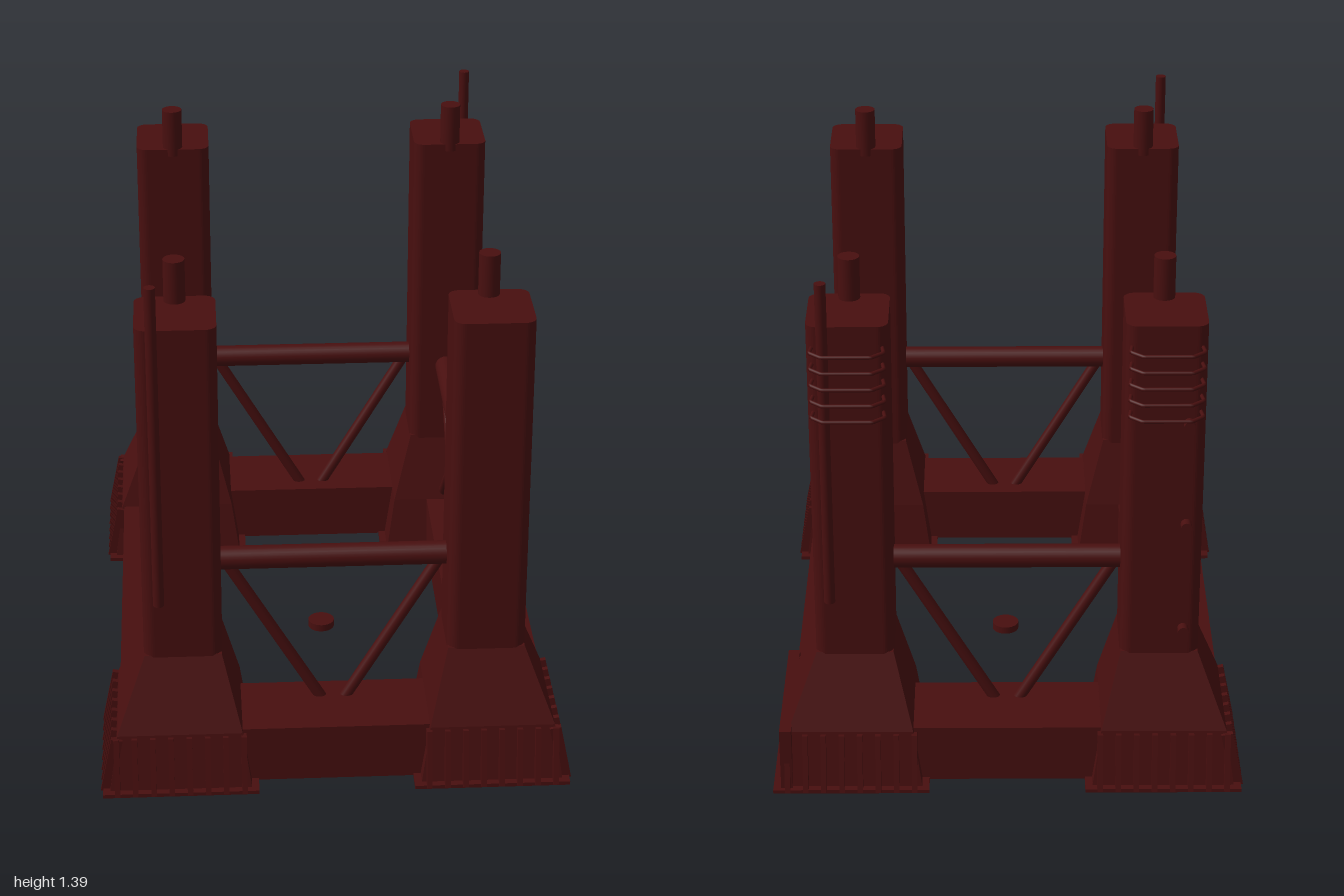
import * as THREE from 'three';

const PAINT = new THREE.MeshStandardMaterial({ color: 0x480f0f });
const V = (x, y, z) => new THREE.Vector3(x, y, z);

function add(parent, name, geometry, x = 0, y = 0, z = 0) {
  const mesh = new THREE.Mesh(geometry, PAINT);
  mesh.name = name;
  mesh.position.set(x, y, z);
  parent.add(mesh);
  return mesh;
}

// Round bar between two points
function bar(parent, name, a, b, r, sides = 16) {
  const dir = b.clone().sub(a);
  const mesh = add(parent, name, new THREE.CylinderGeometry(r, r, dir.length(), sides));
  mesh.position.copy(a).add(b).multiplyScalar(0.5);
  mesh.quaternion.setFromUnitVectors(V(0, 1, 0), dir.normalize());
  return mesh;
}

// Box whose bottom and top squares have their own centre and half width
function frustum(lo, hi) {
  const g = new THREE.BoxGeometry(2, 2, 2).toNonIndexed();
  const p = g.attributes.position;
  for (let i = 0; i < p.count; i++) {
    const s = p.getY(i) < 0 ? lo : hi;
    p.setXYZ(i, s.x + p.getX(i) * s.h, s.y, s.z + p.getZ(i) * s.h);
  }
  g.computeVertexNormals();
  return g;
}

// Upright column with rounded vertical edges
function columnGeometry(h, r, height) {
  const k = h - r;
  const s = new THREE.Shape();
  s.absarc(k, k, r, 0, Math.PI / 2);
  s.absarc(-k, k, r, Math.PI / 2, Math.PI);
  s.absarc(-k, -k, r, Math.PI, Math.PI * 1.5);
  s.absarc(k, -k, r, Math.PI * 1.5, Math.PI * 2);
  s.closePath();
  const g = new THREE.ExtrudeGeometry(s, { depth: height, bevelEnabled: false, curveSegments: 5 });
  return g.rotateX(-Math.PI / 2);
}

const CX = 0.387, CZ = 0.593;   // column centres
const PX = 0.4, PZ = 0.61;      // pedestal centres

function leg(sx, sz) {
  const g = new THREE.Group();
  g.name = 'leg';
  const cx = sx * CX, cz = sz * CZ, px = sx * PX, pz = sz * PZ;

  // Pedestal: base plate, sloping skirt, flare up to the column
  add(g, 'basePlate', new THREE.BoxGeometry(0.4, 0.01, 0.4), px, 0.005, pz);
  add(g, 'skirt', frustum({ x: px, y: 0, z: pz, h: 0.183 }, { x: px, y: 0.16, z: pz, h: 0.16 }));
  add(g, 'flare', frustum({ x: px, y: 0.16, z: pz, h: 0.16 }, { x: cx, y: 0.35, z: cz, h: 0.098 }));
  add(g, 'column', columnGeometry(0.1, 0.028, 0.93), cx, 0.33, cz);
  add(g, 'stack', new THREE.CylinderGeometry(0.027, 0.027, 0.13, 20), cx, 1.305, cz - sz * 0.077);

  // Fins on the two outer faces of the skirt
  const plated = sx > 0 && sz < 0;
  for (let i = 0; i < 8; i++) {
    const t = -0.175 + i * 0.05;
    const f = add(g, 'fin', new THREE.BoxGeometry(0.014, 0.155, 0.03), px + t * 0.93, 0.078, pz + sz * 0.176);
    f.rotation.x = -sz * 0.2;
    if (plated) continue;
    const e = add(g, 'fin', new THREE.BoxGeometry(0.03, 0.155, 0.014), px + sx * 0.176, 0.078, pz + t * 0.93);
    e.rotation.z = sx * 0.2;
  }
  if (plated) add(g, 'sidePanel', new THREE.BoxGeometry(0.03, 0.18, 0.4), 0.565, 0.09, -0.6);

  // Hoop rails on the rear legs
  if (sz < 0) {
    const pts = [[-0.085, -0.09], [-0.09, -0.125], [-0.06, -0.152], [0.06, -0.152], [0.09, -0.125], [0.085, -0.09]];
    const path = new THREE.CurvePath();
    for (let i = 1; i < pts.length; i++) {
      path.add(new THREE.LineCurve3(V(pts[i - 1][0], 0, pts[i - 1][1]), V(pts[i][0], 0, pts[i][1])));
    }
    const hoop = new THREE.TubeGeometry(path, 40, 0.005, 8);
    for (let i = 0; i < 5; i++) add(g, 'hoopRail', hoop, cx, 1.03 + i * 0.0433, cz);
  }

  // Riser pipe with brackets on two opposite legs, bare studs on a third
  const rx = sx * 0.445, face = sz * 0.69;
  if (sx * sz < 0) {
    bar(g, 'riserPipe', V(rx, 0.52, sz * 0.728), V(rx, 1.39, sz * 0.728), 0.014);
    for (let i = 0; i < 6; i++) {
      add(g, 'bracket', new THREE.BoxGeometry(0.02, 0.012, 0.06), rx, 0.585 + i * 0.119, sz * 0.705);
    }
  } else if (sz < 0) {
    for (const y of [0.42, 0.72, 1.0]) {
      bar(g, 'stud', V(rx, y, face + 0.01), V(rx, y, face - 0.028), 0.014);
    }
  }
  return g;
}

export function createModel() {
  const model = new THREE.Group();
  model.name = 'platform';
  const rig = new THREE.Group();
  rig.name = 'rig';
  rig.rotation.y = Math.PI / 6;
  model.add(rig);

  for (const sx of [-1, 1]) for (const sz of [-1, 1]) rig.add(leg(sx, sz));

  const top = 0.575, low = 0.15;
  for (const s of [-1, 1]) {
    // Pontoons between the pedestals
    add(rig, 'longPontoon', new THREE.BoxGeometry(0.22, 0.155, 1.1), s * 0.445, 0.082, 0);
    add(rig, 'shortPontoon', new THREE.BoxGeometry(0.7, 0.155, 0.22), 0, 0.082, s * 0.642);

    // Upper chord pipes
    bar(rig, 'longChord', V(s * CX, top, -CZ), V(s * CX, top, CZ), 0.03, 24);
    bar(rig, 'shortChord', V(-CX, top, s * CZ), V(CX, top, s * CZ), 0.03, 24);

    // Centre post and diagonal braces
    bar(rig, 'post', V(s * CX, low, 0), V(s * CX, top, 0), 0.014);
    for (const e of [-1, 1]) {
      bar(rig, 'longBrace', V(s * CX, top, e * 0.5), V(s * CX, low, e * 0.02), 0.015);
      bar(rig, 'longBrace', V(s * CX, top, e * 0.02), V(s * CX, low, e * 0.5), 0.015);
      bar(rig, 'shortBrace', V(e * 0.28, top, s * CZ), V(e * 0.03, low, s * CZ), 0.015);
    }
  }

  // Small disc at the middle of the base
  add(rig, 'centreDisc', new THREE.CylinderGeometry(0.036, 0.036, 0.02, 24), 0, 0.02, 0);
  return model;
}
